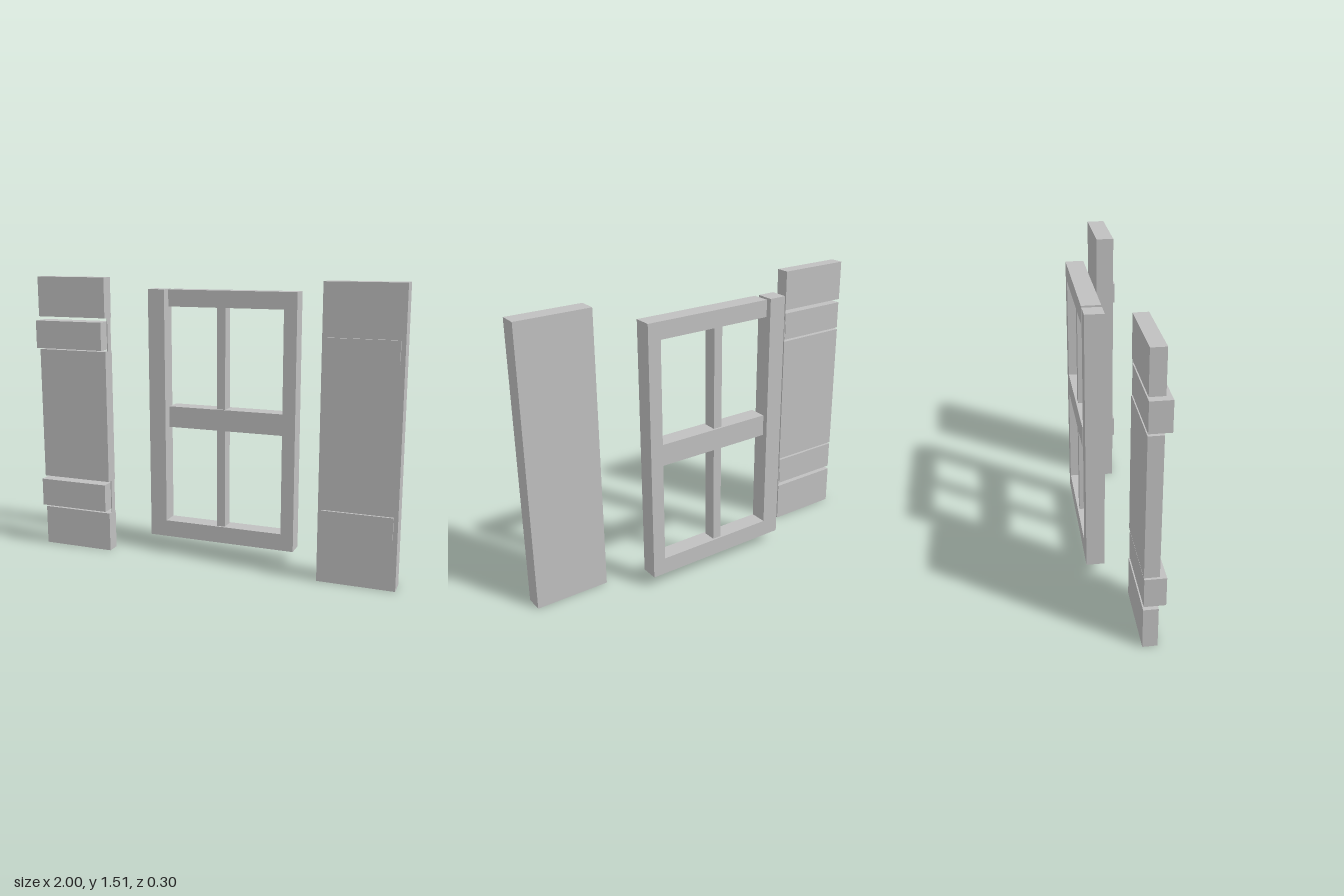
import * as THREE from 'three';

export function createModel() {
  const model = new THREE.Group();
  const grey = new THREE.MeshStandardMaterial({ color: 0xc0c0c0 });
  grey.name = 'plain grey';

  const group = (name) => {
    const g = new THREE.Group();
    g.name = name;
    model.add(g);
    return g;
  };

  // Box given by its extents along each axis
  const board = (parent, name, [x0, x1], [y0, y1], [z0, z1]) => {
    const mesh = new THREE.Mesh(new THREE.BoxGeometry(x1 - x0, y1 - y0, z1 - z0), grey);
    mesh.position.set((x0 + x1) / 2, (y0 + y1) / 2, (z0 + z1) / 2);
    mesh.name = name;
    parent.add(mesh);
  };

  // Window frame: stiles and rails, with short rails stopping clear of the right stile
  const frame = group('windowFrame');
  const fz = [-0.148, -0.052];
  board(frame, 'rightStile', [-0.42, -0.325], [0.065, 1.45], fz);
  board(frame, 'leftStile', [0.345, 0.415], [0.065, 1.45], fz);
  board(frame, 'bottomRail', [-0.325, 0.345], [0.065, 0.157], fz);
  board(frame, 'middleRail', [-0.3, 0.345], [0.7, 0.815], fz);
  board(frame, 'topRail', [-0.3, 0.345], [1.36, 1.45], fz);

  // Slimmer glazing bars between the rails
  for (const y of [[0.157, 0.7], [0.815, 1.36]]) {
    board(frame, 'glazingBar', [-0.026, 0.022], y, [-0.137, -0.063]);
  }

  // Left shutter: one solid panel with two thin raised battens
  const left = group('leftShutter');
  board(left, 'panel', [0.595, 0.997], [0, 1.515], [0.044, 0.139]);
  for (const y of [[0.268, 0.382], [1.135, 1.248]]) {
    board(left, 'batten', [0.613, 0.975], y, [0.139, 0.151]);
  }

  // Right shutter: three panels with thick battens set in the gaps
  const right = group('rightShutter');
  for (const y of [[0, 0.216], [0.398, 1.12], [1.3, 1.515]]) {
    board(right, 'panel', [-1, -0.597], y, [0.044, 0.117]);
  }
  for (const y of [[0.235, 0.387], [1.13, 1.28]]) {
    board(right, 'batten', [-1, -0.604], y, [0.046, 0.151]);
  }
  // Thin strips joining the panels at the inner edge
  for (const y of [[0.216, 0.398], [1.12, 1.3]]) {
    board(right, 'edgeStrip', [-0.603, -0.598], y, [0.048, 0.085]);
  }

  return model;
}
